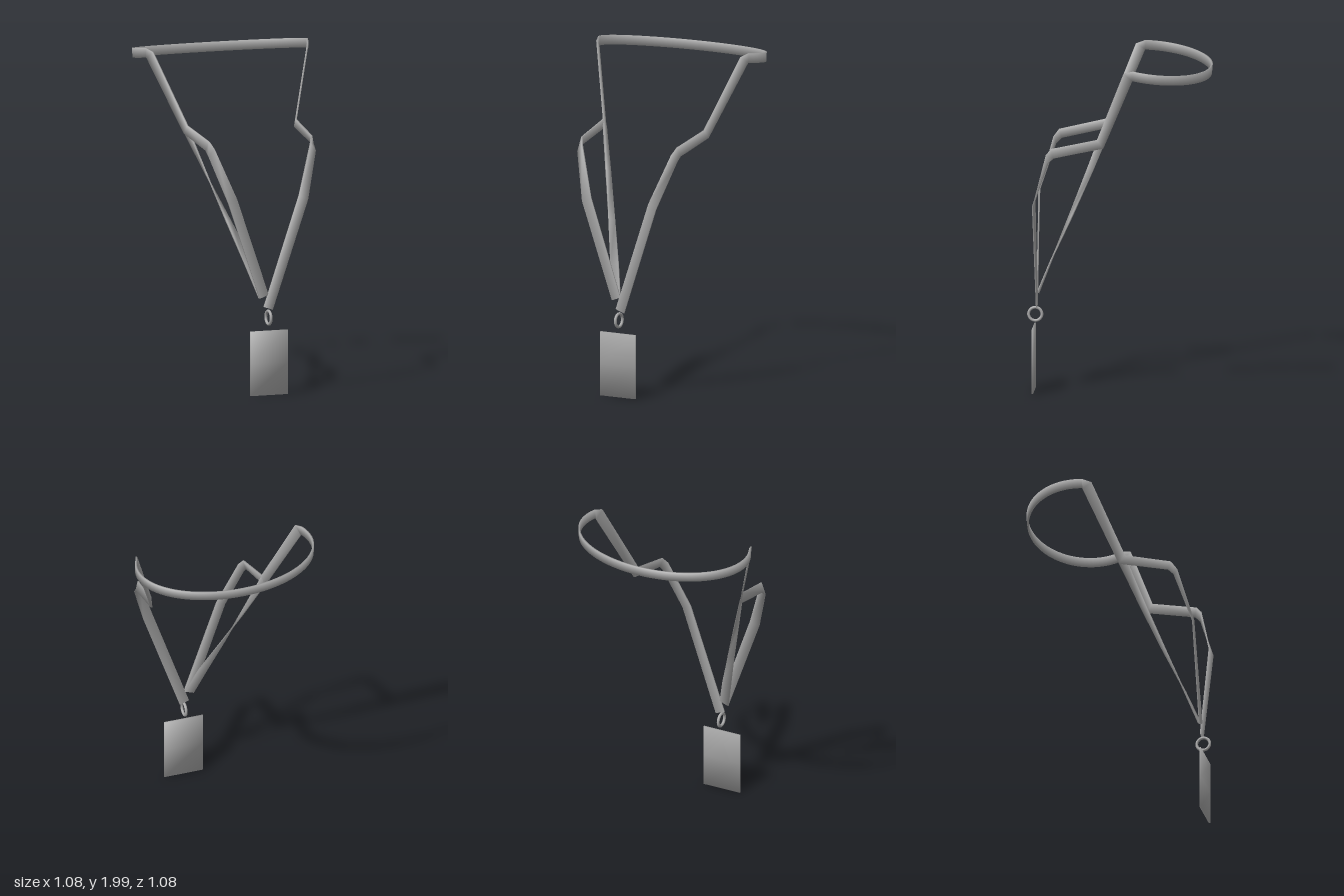
import * as THREE from 'three';

const THICK = 0.0045; // half thickness of the webbing

// Flat strap swept through sections [centre, half-width vector], with soft rounded-looking corners
function ribbon(sections, material, name) {
  const pos = [], nor = [], idx = [];
  const P = sections.map(s => new THREE.Vector3(...s[0]));
  const W = sections.map(s => new THREE.Vector3(...s[1]));
  const corners = [[1, 1], [-1, 1], [-1, -1], [1, -1]];
  const last = P.length - 1;
  P.forEach((p, i) => {
    const t = new THREE.Vector3();
    if (i > 0) t.add(p.clone().sub(P[i - 1]).normalize());
    if (i < last) t.add(P[i + 1].clone().sub(p).normalize());
    const n = t.cross(W[i]).normalize();
    const w = W[i].clone().normalize();
    for (const [a, b] of corners) {
      pos.push(...p.clone().addScaledVector(W[i], a).addScaledVector(n, b * THICK).toArray());
      nor.push(...w.clone().multiplyScalar(a).addScaledVector(n, b).normalize().toArray());
    }
  });
  for (let i = 0; i < last; i++) {
    for (let j = 0; j < 4; j++) {
      const a = i * 4 + j, b = i * 4 + (j + 1) % 4;
      idx.push(a, b, b + 4, a, b + 4, a + 4);
    }
  }
  const e = last * 4;
  idx.push(0, 3, 2, 0, 2, 1, e, e + 1, e + 2, e, e + 2, e + 3);
  const g = new THREE.BufferGeometry();
  g.setAttribute('position', new THREE.Float32BufferAttribute(pos, 3));
  g.setAttribute('normal', new THREE.Float32BufferAttribute(nor, 3));
  g.setIndex(idx);
  const mesh = new THREE.Mesh(g, material);
  mesh.name = name;
  return mesh;
}

const mirror = ([p, w]) => [[-p[0], p[1], p[2]], [-w[0], w[1], w[2]]];

export function createModel() {
  const group = new THREE.Group();
  group.name = 'lanyard';
  const grey = new THREE.MeshStandardMaterial({ color: 0xa6a6a6 });
  grey.name = 'grey';

  // Side of the strap, from the chest up to the shoulder
  const side = [
    [[0.225, 1.15, 0.486], [-0.028, 0.012, -0.004]],
    [[0.322, 1.43, 0.402], [-0.018, 0.022, 0.004]],
    [[0.333, 1.467, 0.37], [-0.008, 0.027, 0.006]],
    [[0.348, 1.53, 0.088], [-0.003, 0.025, 0.018]],
    [[0.501, 1.955, -0.085], [-0.008, 0.022, 0.024]],
  ];
  // Loop around the back of the neck, dipping toward the rear
  const neck = [];
  const STEPS = 48, start = 0.3;
  for (let i = 0; i <= STEPS; i++) {
    const a = start - (i / STEPS) * (Math.PI + 2 * start);
    const z = -0.21 + 0.327 * Math.sin(a);
    neck.push([[0.537 * Math.cos(a), 1.98 + 0.122 * z, z], [0, 0.028, -0.0025]]);
  }
  group.add(ribbon([
    [[0.002, 0.508, 0.483], [-0.028, 0.01, 0]],
    ...side,
    ...neck,
    ...side.map(mirror).reverse(),
    [[-0.024, 0.578, 0.483], [0.028, 0.01, 0]],
  ], grey, 'neckStrap'));

  // Straight strap behind the right side, twisting as it descends
  group.add(ribbon([
    [[-0.348, 1.53, 0.088], [0, 0.025, 0.018]],
    [[-0.26, 1.27, 0.19], [-0.009, 0.014, 0.014]],
    [[-0.17, 1.01, 0.297], [-0.019, 0.003, 0.008]],
    [[-0.085, 0.765, 0.403], [-0.026, -0.008, 0.002]],
    [[-0.027, 0.578, 0.478], [-0.028, -0.01, 0]],
  ], grey, 'backStrap'));

  // Ring joining strap and badge
  const ring = new THREE.Mesh(new THREE.TorusGeometry(0.039, 0.0085, 12, 40), grey);
  ring.name = 'ring';
  ring.rotation.y = Math.PI / 2;
  ring.position.set(0, 0.455, 0.493);
  group.add(ring);

  // Badge card, with corner-averaged normals for soft shading
  const card = new THREE.BoxGeometry(0.24, 0.38, 0.009, 1, 2, 1);
  const p = card.attributes.position, n = card.attributes.normal;
  const v = new THREE.Vector3();
  for (let i = 0; i < p.count; i++) {
    v.fromBufferAttribute(p, i);
    v.set(Math.sign(v.x), Math.abs(v.y) < 0.01 ? 0 : Math.sign(v.y), Math.sign(v.z)).normalize();
    n.setXYZ(i, v.x, v.y, v.z);
  }
  const badge = new THREE.Mesh(card, grey);
  badge.name = 'badge';
  badge.position.set(0, 0.19, 0.502);
  group.add(badge);

  return group;
}
